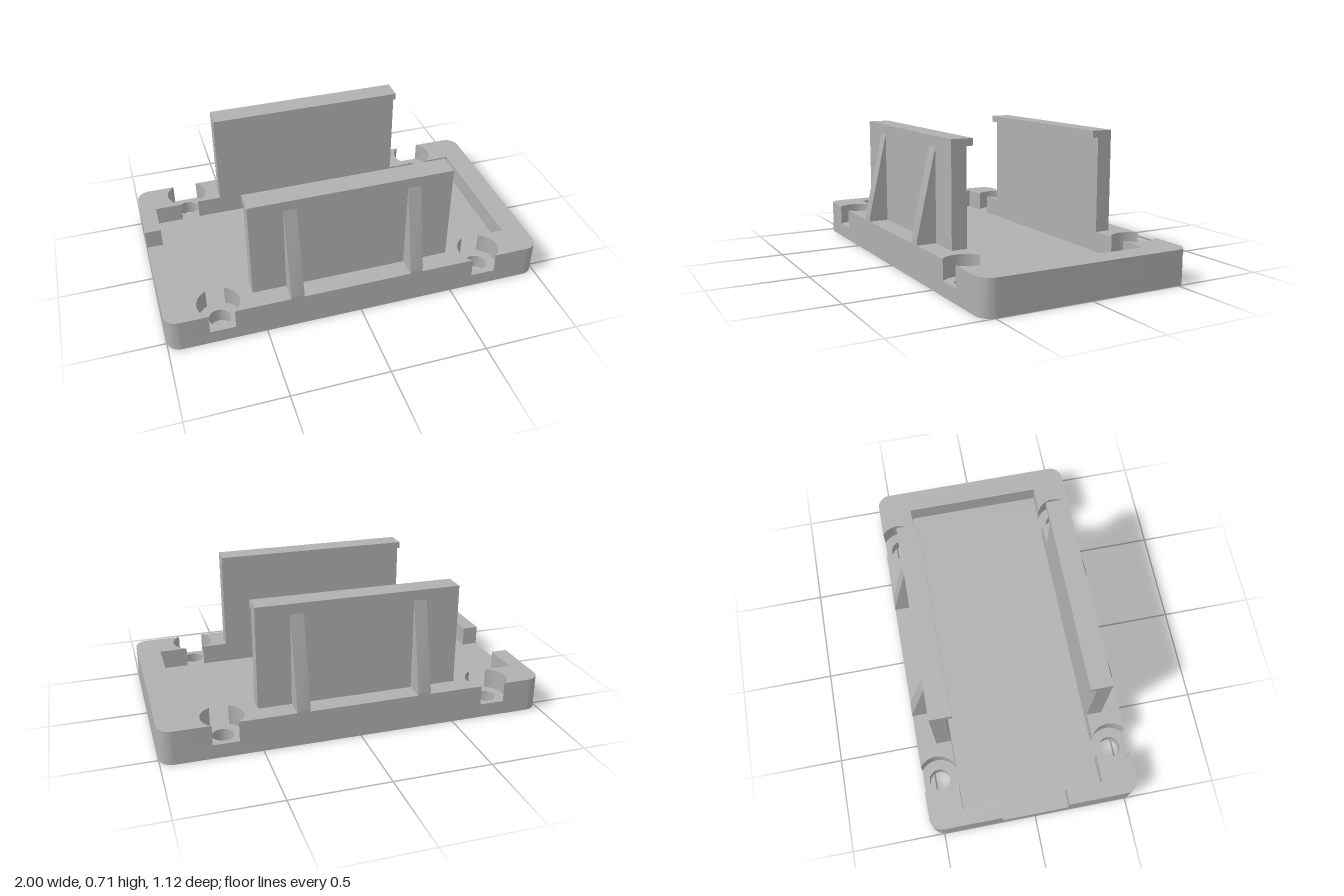
import * as THREE from 'three';
import { toCreasedNormals } from 'three/addons/utils/BufferGeometryUtils.js';

const HALF_DEPTH = 0.56, CORNER = 0.07;
const FLOOR = 0.073, RIM = 0.178;            // floor and rim heights
const POCKET = 0.377, POCKET_L = -0.914, POCKET_R = 0.877, NOTCH = 0.18;
const XL = -0.722, XR = 0.682, HOLE_Z = 0.474, HOLE_R = 0.056, BORE_R = 0.108;
// angles where a counterbore meets the outer edge and the pocket wall
const A_OUT = Math.asin((HALF_DEPTH - HOLE_Z) / BORE_R);
const A_IN = Math.asin((POCKET - HOLE_Z) / BORE_R);

export function createModel() {
  const model = new THREE.Group();
  model.name = 'clipBracket';
  const grey = new THREE.MeshStandardMaterial({ color: 0xb0b0b0 });
  grey.name = 'grey plastic';

  const extrude = (shape, depth) => toCreasedNormals(
    new THREE.ExtrudeGeometry(shape, { depth, bevelEnabled: false, curveSegments: 24 }), 0.5);
  const add = (name, geometry) => {
    const mesh = new THREE.Mesh(geometry, grey);
    mesh.name = name;
    model.add(mesh);
    return mesh;
  };
  // plan shape raised from y0 to y1; side 1 is the front, -1 the back
  const plate = (name, shape, y0, y1, side = 1) => {
    const mesh = add(name, extrude(shape, y1 - y0));
    mesh.rotation.x = side * Math.PI / 2;
    mesh.position.y = side > 0 ? y1 : y0;
  };
  // profile in (distance from centre, height), extruded from x0 to x1
  const along = (name, points, x0, x1, side) => {
    const shape = new THREE.Shape(points.map(([z, y]) => new THREE.Vector2(z, y)));
    const mesh = add(name, extrude(shape, x1 - x0));
    mesh.rotation.y = -side * Math.PI / 2;
    mesh.position.x = side > 0 ? x1 : x0;
  };

  // Floor slab with rounded corners and four screw holes
  const cx = 1 - CORNER, cz = HALF_DEPTH - CORNER;
  const slab = new THREE.Shape();
  slab.absarc(cx, cz, CORNER, 0, Math.PI / 2, false);
  slab.absarc(-cx, cz, CORNER, Math.PI / 2, Math.PI, false);
  slab.absarc(-cx, -cz, CORNER, Math.PI, Math.PI * 1.5, false);
  slab.absarc(cx, -cz, CORNER, Math.PI * 1.5, Math.PI * 2, false);
  for (const x of [XL, XR]) for (const z of [HOLE_Z, -HOLE_Z]) {
    slab.holes.push(new THREE.Path().absarc(x, z, HOLE_R, 0, Math.PI * 2, true));
  }
  plate('floorSlab', slab, 0, FLOOR);

  // Closed end of the rim, between the two right-hand counterbores
  const end = new THREE.Shape();
  end.absarc(XR, HOLE_Z, BORE_R, A_OUT, A_IN, true);
  end.lineTo(POCKET_R, POCKET);
  end.lineTo(POCKET_R, -POCKET);
  end.absarc(XR, -HOLE_Z, BORE_R, -A_IN, -A_OUT, true);
  end.absarc(cx, -cz, CORNER, -Math.PI / 2, 0, false);
  end.absarc(cx, cz, CORNER, 0, Math.PI / 2, false);
  plate('endRim', end, FLOOR, RIM);

  // Rim along each long side
  const middle = new THREE.Shape();
  middle.absarc(XL, HOLE_Z, BORE_R, A_OUT, A_IN, true);
  middle.absarc(XR, HOLE_Z, BORE_R, Math.PI - A_IN, Math.PI - A_OUT, true);

  // Corner rim beside the cable notch
  const corner = new THREE.Shape();
  corner.absarc(XL, HOLE_Z, BORE_R, Math.PI - A_OUT, Math.PI - A_IN, false);
  corner.lineTo(POCKET_L, POCKET);
  corner.lineTo(POCKET_L, NOTCH);
  corner.lineTo(-1, NOTCH);
  corner.absarc(-cx, cz, CORNER, Math.PI, Math.PI / 2, true);

  for (const side of [1, -1]) {
    const label = side > 0 ? 'front' : 'back';
    plate(label + 'SideRim', middle, FLOOR, RIM, side);
    plate(label + 'NotchRim', corner, FLOOR, RIM, side);

    // Upright clip wall with an inward lip
    along(label + 'ClipWall', [[POCKET, RIM], [0.457, RIM], [0.457, 0.706],
      [0.344, 0.706], [0.344, 0.67], [POCKET, 0.67]], -0.544, 0.502, side);

    // Tapered ribs bracing the wall
    for (const x of [-0.37, 0.263]) {
      along(label + 'Rib', [[0.457, RIM], [HALF_DEPTH, RIM], [HALF_DEPTH, 0.2],
        [0.457, 0.652]], x, x + 0.067, side);
    }
  }
  return model;
}
